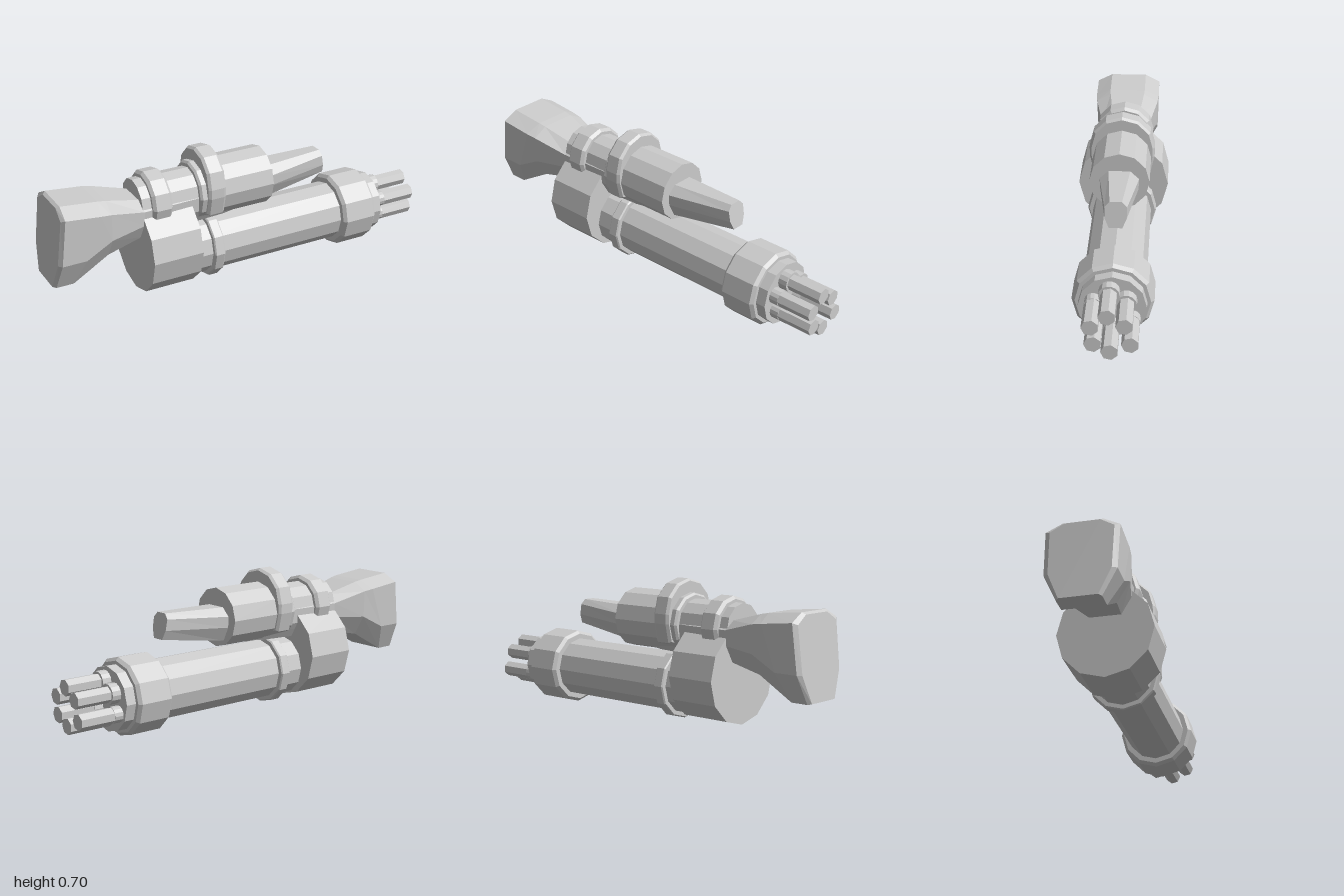
import * as THREE from 'three';

const material = new THREE.MeshStandardMaterial({ color: 0xcccccc, flatShading: true });

export function createModel() {
  const model = new THREE.Group();

  function add(name, geometry, x = 0, y = 0, z = 0) {
    const mesh = new THREE.Mesh(geometry, material);
    mesh.name = name;
    mesh.position.set(x, y, z);
    model.add(mesh);
    return mesh;
  }

  // Faceted drum lying along x, with chamfered rims
  function drum(name, x0, x1, radius, y, z = 0, bevel = 0, sides = 12) {
    const profile = [[0, x0], [radius - bevel, x0]];
    if (bevel) profile.push([radius, x0 + bevel], [radius, x1 - bevel]);
    profile.push([radius - bevel, x1], [0, x1]);
    const geometry = new THREE.LatheGeometry(profile.map(p => new THREE.Vector2(...p)), sides);
    geometry.rotateZ(-Math.PI / 2);
    return add(name, geometry, 0, y, z);
  }

  // Lower rotary barrel housing
  const axisY = 0.188;
  drum('rearDrum', -0.545, -0.29, 0.23, 0.26);
  drum('housing', -0.3, 0.56, 0.147, axisY);
  drum('housingBand', -0.195, -0.14, 0.173, axisY, 0, 0.006);
  drum('muzzleRing', 0.54, 0.73, 0.187, axisY, 0, 0.015);
  drum('muzzlePlate', 0.72, 0.78, 0.155, axisY);

  // Cluster of barrels: z, y, collar radius
  const barrels = [
    [0.012, 0.275, 0.048], [-0.064, 0.23, 0.048], [0.085, 0.221, 0.039],
    [0.074, 0.137, 0.039], [-0.089, 0.137, 0.039], [0.001, 0.098, 0.039],
  ];
  barrels.forEach(([z, y, collar], i) => {
    drum('barrelCollar' + (i + 1), 0.77, 0.825, collar, y, z, 0, 14);
    drum('barrel' + (i + 1), 0.77, 1, 0.039, y, z, 0, 7);
  });

  // Upper receiver
  const upperY = 0.486;
  drum('receiver', -0.15, 0.14, 0.145, upperY);
  drum('receiverCollar', -0.255, -0.14, 0.145, upperY, 0, 0.01);
  drum('neck', -0.545, -0.24, 0.118, upperY);
  drum('rearCollar', -0.5, -0.4, 0.147, upperY, 0, 0.014);

  // Raised clamp around the receiver, open and flat underneath
  const clamp = new THREE.Shape();
  for (let i = 0; i <= 6; i++) {
    const a = i * Math.PI / 6;
    clamp[i ? 'lineTo' : 'moveTo'](0.152 * Math.cos(a), 0.535 + 0.152 * Math.sin(a));
  }
  [[-0.152, 0.49], [-0.132, 0.405], [-0.12, 0.4], [0.12, 0.4], [0.132, 0.405], [0.152, 0.49]]
    .forEach(p => clamp.lineTo(...p));
  const clampGeometry = new THREE.ExtrudeGeometry(clamp, {
    depth: 0.066, bevelEnabled: true, bevelSegments: 1, bevelSize: 0.01, bevelThickness: 0.013,
  });
  clampGeometry.rotateY(Math.PI / 2);
  add('clamp', clampGeometry, -0.208);

  // Stock running through the receiver to the front spike, lofted from octagons:
  // top x, bottom x, top y, bottom y, half width, top chamfer, bottom chamfer
  const sections = [
    [-0.955, -1.0, 0.59, 0.2, 0.145, 0.04, 0.13],
    [-0.94, -0.985, 0.6, 0.197, 0.168, 0.04, 0.135],
    [-0.76, -0.9, 0.582, 0.197, 0.168, 0.04, 0.135],
    [-0.72, -0.72, 0.575, 0.3, 0.163, 0.04, 0.1],
    [-0.54, -0.54, 0.528, 0.335, 0.125, 0.04, 0.08],
    [-0.1, -0.1, 0.53, 0.35, 0.115, 0.04, 0.07],
    [0.14, 0.14, 0.542, 0.378, 0.095, 0.04, 0.07],
    [0.468, 0.49, 0.55, 0.427, 0.052, 0.025, 0.045],
  ];
  const positions = [], index = [], n = 8;
  sections.forEach(([xt, xb, yt, yb, w, ct, cb]) => {
    const half = [[0.55 * w, yt], [w, yt - ct], [0.97 * w, yb + cb], [0.6 * w, yb]];
    const ring = [...half, ...half.slice().reverse().map(([z, y]) => [-z, y])];
    ring.forEach(([z, y]) => positions.push(xb + (xt - xb) * (y - yb) / (yt - yb), y, z));
  });
  for (let s = 0; s < sections.length - 1; s++) {
    for (let j = 0; j < n; j++) {
      const a = s * n + j, b = s * n + (j + 1) % n;
      index.push(a, b, b + n, a, b + n, a + n);
    }
  }
  const last = (sections.length - 1) * n;
  for (let j = 1; j < n - 1; j++) index.push(0, j + 1, j, last, last + j, last + j + 1);
  const stock = new THREE.BufferGeometry();
  stock.setAttribute('position', new THREE.Float32BufferAttribute(positions, 3));
  stock.setIndex(index);
  stock.computeVertexNormals();
  add('stockAndSpike', stock);

  return model;
}
